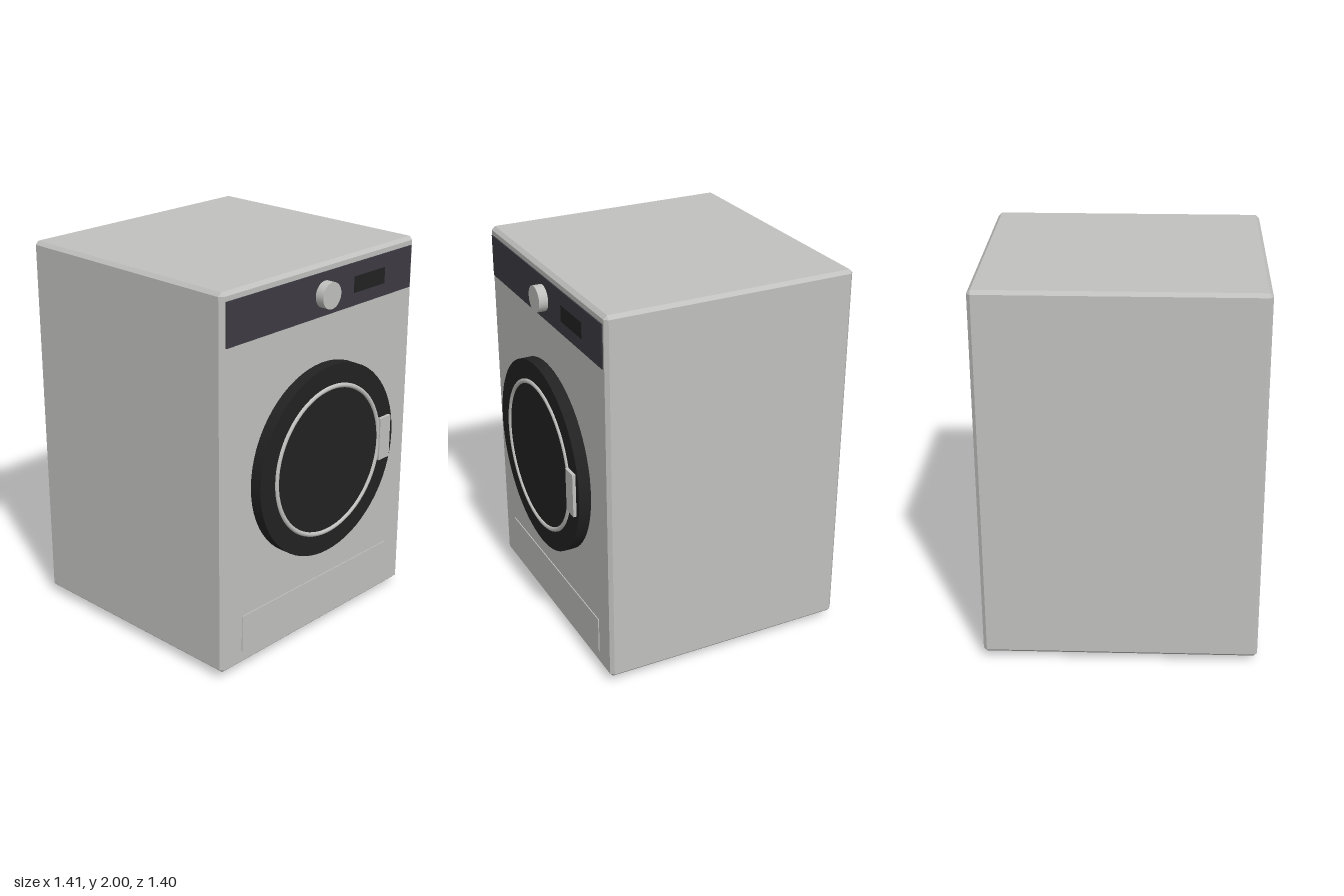
import * as THREE from 'three';
import { ConvexGeometry } from 'three/addons/geometries/ConvexGeometry.js';

const material = (name, color) => {
  const m = new THREE.MeshStandardMaterial({ color });
  m.name = name;
  return m;
};

// Box with flat 45-degree chamfers on every edge
function chamferBox(w, h, d, c) {
  const points = [];
  for (const x of [-1, 1]) for (const y of [-1, 1]) for (const z of [-1, 1]) {
    for (let axis = 0; axis < 3; axis++) {
      const inset = [c, c, c];
      inset[axis] = 0;
      points.push(new THREE.Vector3(
        x * (w / 2 - inset[0]), y * (h / 2 - inset[1]), z * (d / 2 - inset[2])));
    }
  }
  return new ConvexGeometry(points);
}

export function createModel() {
  const model = new THREE.Group();
  model.name = 'washingMachine';

  const enamel = material('light grey enamel', 0xc0c0be);
  const charcoal = material('charcoal panel', 0x3d3b42);
  const black = material('black plastic', 0x222222);

  const add = (name, geometry, mat, x, y, z) => {
    const mesh = new THREE.Mesh(geometry, mat);
    mesh.name = name;
    mesh.position.set(x, y, z);
    model.add(mesh);
    return mesh;
  };
  // Box given by its extents on each axis
  const plate = (name, mat, x0, x1, y0, y1, z0, z1) =>
    add(name, new THREE.BoxGeometry(x1 - x0, y1 - y0, z1 - z0), mat,
      (x0 + x1) / 2, (y0 + y1) / 2, (z0 + z1) / 2);
  // Cylinder whose axis points to the front
  const disc = (name, mat, r, y, z0, z1, segments) =>
    add(name, new THREE.CylinderGeometry(r, r, z1 - z0, segments).rotateX(Math.PI / 2),
      mat, 0, y, (z0 + z1) / 2);

  // Cabinet
  const front = 0.62;
  add('cabinet', chamferBox(1.41, 1.965, 1.32, 0.018), enamel, 0, 1.0175, -0.04);

  // Control panel
  plate('controlPanel', charcoal, -0.677, 0.677, 1.737, 1.957, front - 0.005, front + 0.006);
  plate('display', black, 0.222, 0.46, 1.803, 1.887, front, front + 0.009);
  disc('knob', enamel, 0.067, 1.847, front, 0.673, 32);

  // Door with trim ring and handle
  disc('door', black, 0.505, 0.992, front - 0.005, 0.683, 64);
  add('doorRing', new THREE.TorusGeometry(0.39, 0.0125, 12, 64), enamel, 0, 0.992, 0.681);
  plate('doorHandle', enamel, 0.385, 0.468, 0.875, 1.108, 0.682, 0.7);

  // Service flap
  plate('serviceFlap', enamel, -0.565, 0.565, 0.11, 0.308, front - 0.004, front + 0.005);

  // Feet
  for (const x of [-0.563, 0.563]) for (const z of [-0.558, 0.478]) {
    add('foot', new THREE.CylinderGeometry(0.044, 0.044, 0.04, 24), black, x, 0.02, z);
  }
  return model;
}
